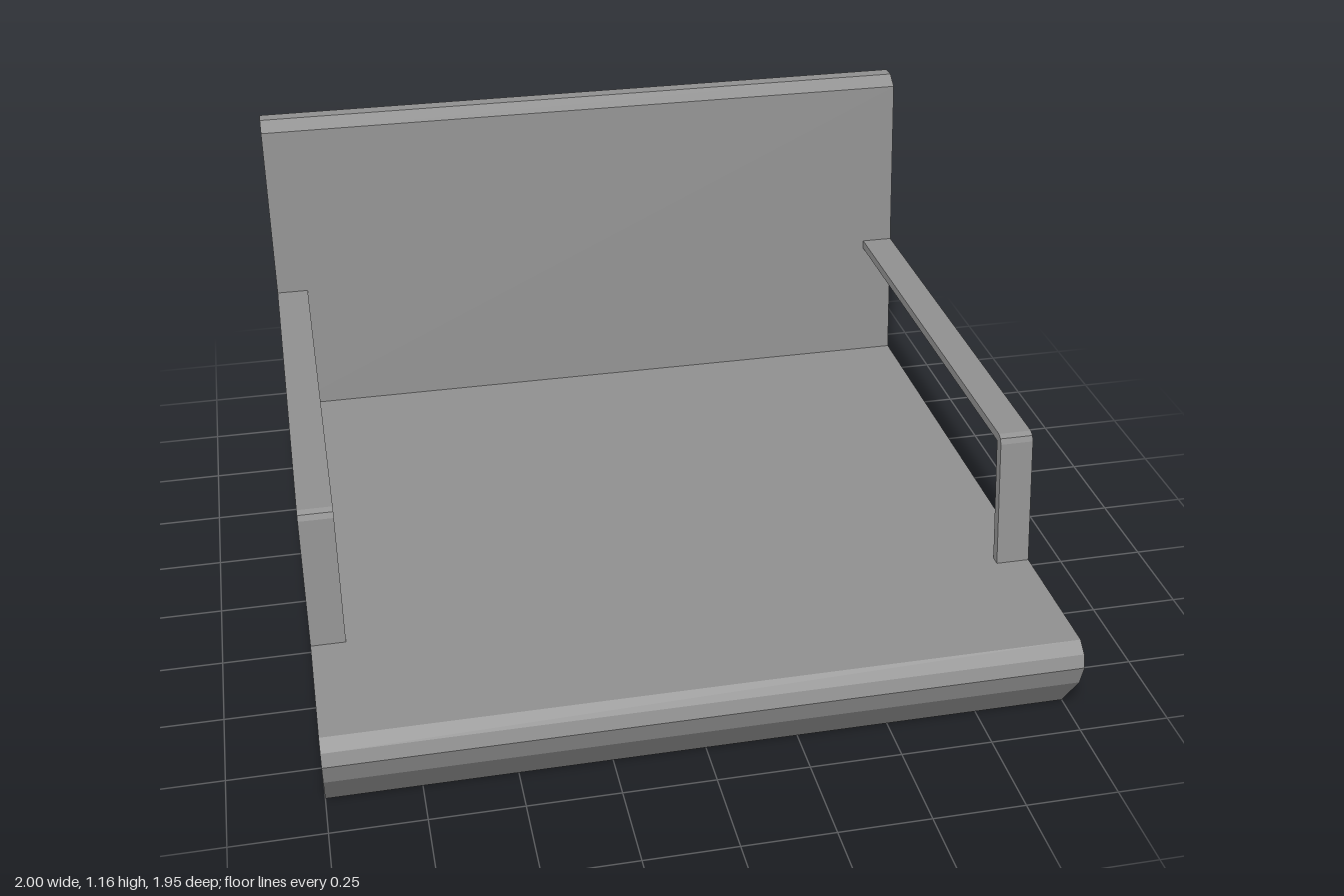
import * as THREE from 'three';

const grey = new THREE.MeshStandardMaterial({ color: 0x909090, flatShading: true });
grey.name = 'plain grey';

// Extrude a side profile of [z, y] points across x, from x0 to x0 + width
function sideExtrude(name, points, x0, width) {
  const shape = new THREE.Shape(points.map(([z, y]) => new THREE.Vector2(-z, y)));
  const geometry = new THREE.ExtrudeGeometry(shape, { depth: width, bevelEnabled: false });
  geometry.rotateY(Math.PI / 2); // shape x becomes -z, depth becomes +x
  geometry.translate(x0, 0, 0);
  const mesh = new THREE.Mesh(geometry, grey);
  mesh.name = name;
  return mesh;
}

export function createModel() {
  const model = new THREE.Group();
  model.name = 'bench';

  // Seat with chamfered nose and tapered backrest, one continuous profile
  const body = [
    [-0.975, 0], [0.87, 0], [0.957, 0.128], [0.975, 0.19], [0.962, 0.225], [0.93, 0.25],
    [-0.73, 0.25], [-0.853, 1.13], [-0.893, 1.157], [-0.935, 1.157], [-0.975, 1.13],
  ];
  model.add(sideExtrude('seatAndBackrest', body, -1, 2));

  // Thin bent armrests: sloping front post and level arm running into the backrest
  const arm = [
    [0.555, 0.245], [0.493, 0.603], [0.486, 0.618], [0.471, 0.625],
    [-0.79, 0.625], [-0.79, 0.6], [0.464, 0.6], [0.527, 0.245],
  ];
  const armWidth = 0.093;
  model.add(sideExtrude('leftArmrest', arm, 1 - armWidth, armWidth));
  model.add(sideExtrude('rightArmrest', arm, -1, armWidth));

  return model;
}
